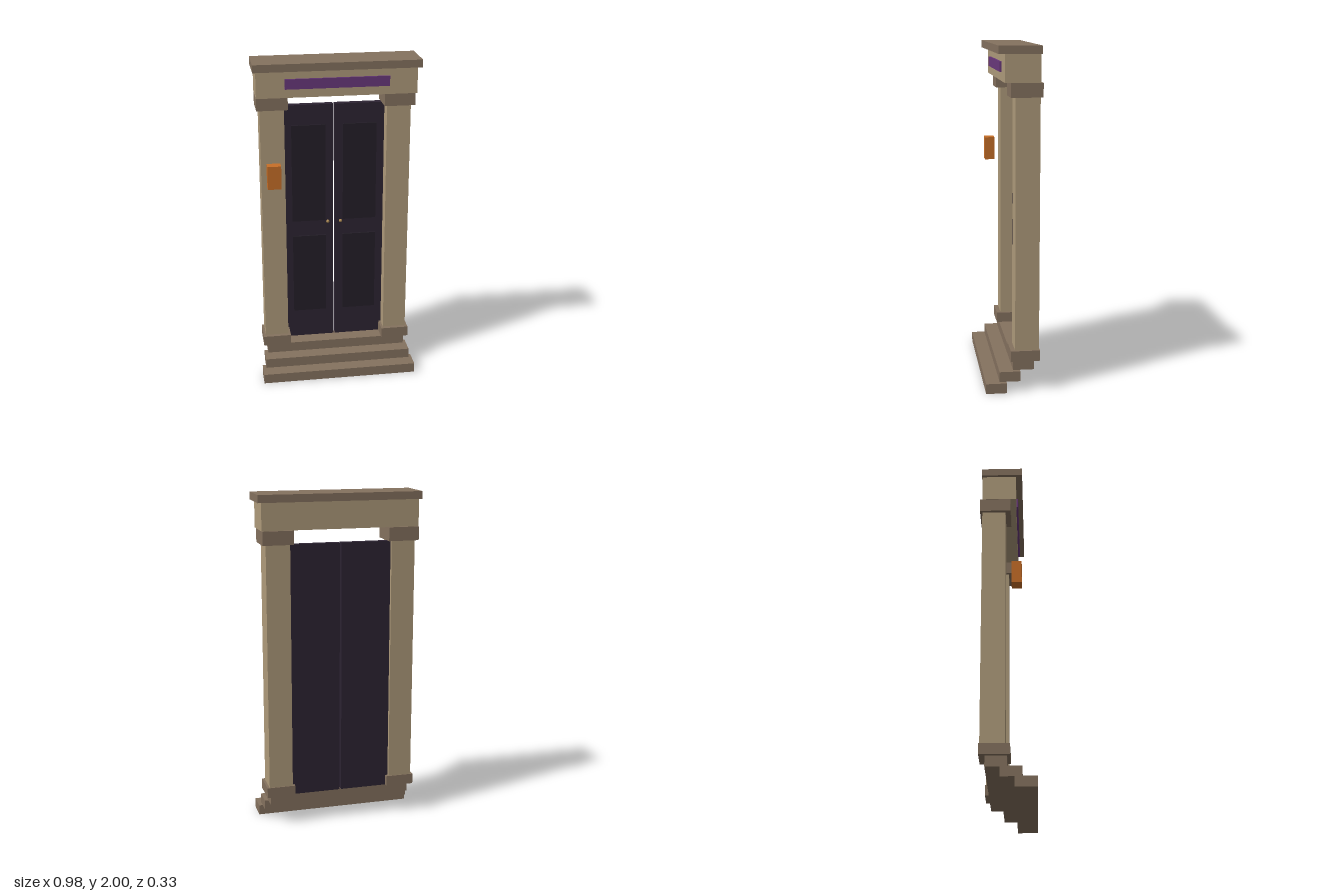
import * as THREE from 'three';

const paint = (color) => new THREE.MeshStandardMaterial({ color });
const stone = paint(0xb09c7c), trim = paint(0x85725f), wood = paint(0x2d2433);
const panelWood = paint(0x241f28), brass = paint(0xb08d57);
const amber = paint(0xc86f28), purple = paint(0x6a387c);

export function createModel() {
  const model = new THREE.Group();
  model.name = 'doorway';

  // Box given by its extents along x, y and z
  function block(name, material, [x0, x1], [y0, y1], [z0, z1]) {
    const geometry = new THREE.BoxGeometry(Math.abs(x1 - x0), y1 - y0, z1 - z0);
    const mesh = new THREE.Mesh(geometry, material);
    mesh.position.set((x0 + x1) / 2, (y0 + y1) / 2, (z0 + z1) / 2);
    mesh.name = name;
    model.add(mesh);
  }

  // Three steps, each set back and a little narrower
  for (let i = 0; i < 3; i++) {
    const w = 0.478 - i * 0.0205, y = i * 0.0625, z = 0.163 - i * 0.0815;
    block('step' + (i + 1), trim, [-w, w], [y, y + 0.06], [z - 0.122, z]);
  }

  // Pillars and door leaves, mirrored
  for (const [side, s] of [['left', 1], ['right', -1]]) {
    const span = (a, b) => [s * a, s * b];
    block(side + 'PillarBase', trim, span(0.291, 0.462), [0.185, 0.248], [-0.155, 0.016]);
    block(side + 'Pillar', stone, span(0.305, 0.448), [0.248, 1.715], [-0.15, -0.01]);
    block(side + 'Capital', trim, span(0.285, 0.468), [1.715, 1.796], [-0.163, 0.02]);

    block(side + 'Door', wood, span(0.005, 0.305), [0.185, 1.713], [-0.13, -0.09]);
    block(side + 'LowerPanel', panelWood, span(0.053, 0.258), [0.37, 0.88], [-0.095, -0.08]);
    block(side + 'UpperPanel', panelWood, span(0.053, 0.258), [0.98, 1.59], [-0.095, -0.08]);

    const knob = new THREE.Mesh(new THREE.SphereGeometry(0.01, 16, 12), brass);
    knob.name = side + 'Knob';
    knob.position.set(s * 0.04, 0.97, -0.08);
    model.add(knob);
  }

  // Lintel, cornice and sign
  block('lintel', stone, [-0.47, 0.47], [1.796, 1.955], [-0.15, 0.052]);
  block('cornice', trim, [-0.489, 0.489], [1.955, 2], [-0.153, 0.09]);
  block('sign', purple, [-0.305, 0.305], [1.847, 1.906], [0.048, 0.063]);

  // Lantern in front of the right pillar
  block('lantern', amber, [-0.418, -0.337], [1.255, 1.396], [0.024, 0.084]);

  return model;
}
